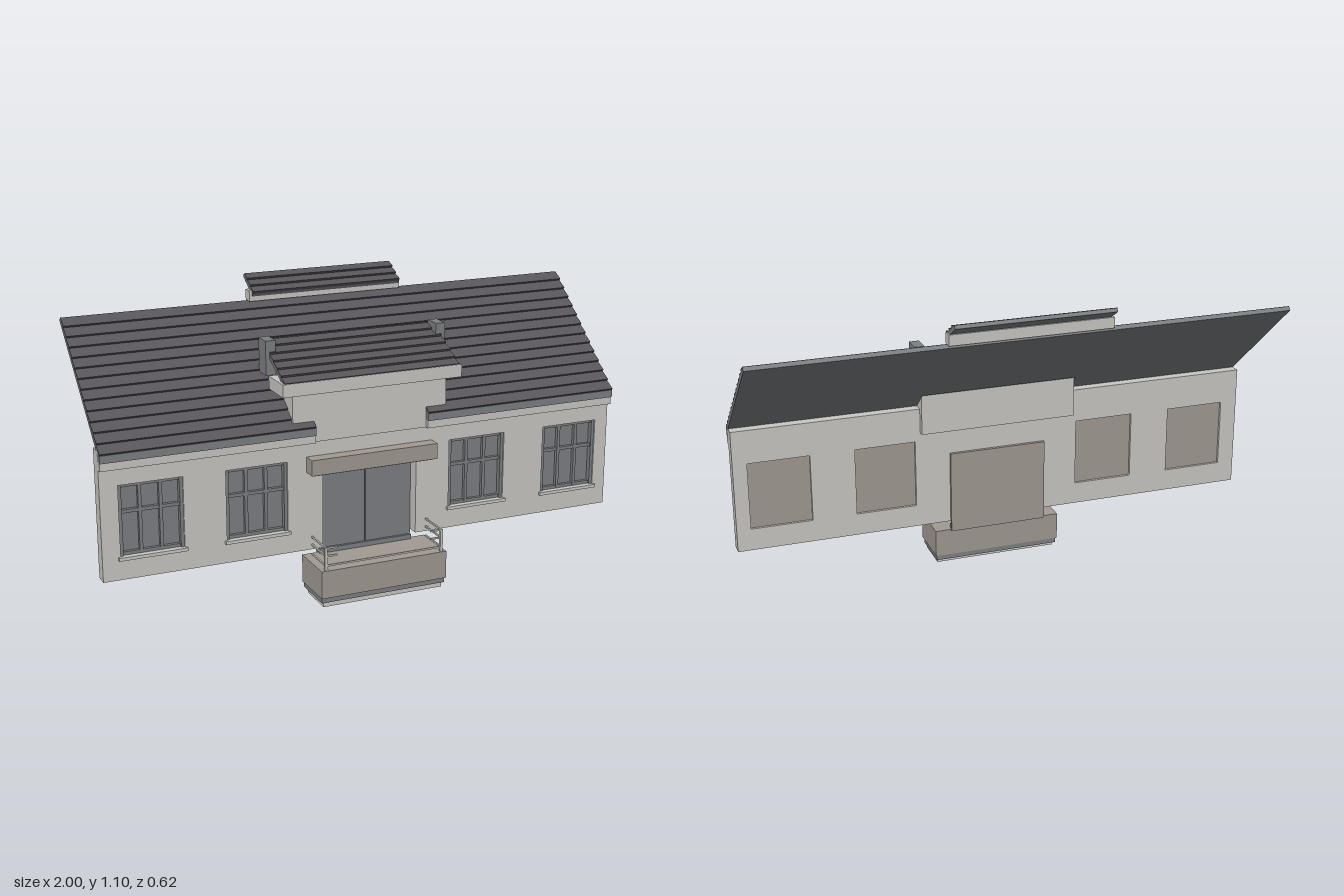
import * as THREE from 'three';

const mat = (name, color) => {
  const m = new THREE.MeshStandardMaterial({ color });
  m.name = name;
  return m;
};

export function createModel() {
  const house = new THREE.Group();
  house.name = 'houseFront';
  const plaster = mat('plaster', 0xc9c8c3);
  const stone = mat('stone', 0xa19a92);
  const grey = mat('grey', 0x7d8083);
  const tile = mat('roofTile', 0x59565b);

  // Box given by its limits on each axis
  const box = (name, m, x0, x1, y0, y1, z0, z1, parent = house) => {
    const mesh = new THREE.Mesh(new THREE.BoxGeometry(x1 - x0, y1 - y0, z1 - z0), m);
    mesh.position.set((x0 + x1) / 2, (y0 + y1) / 2, (z0 + z1) / 2);
    mesh.name = name;
    parent.add(mesh);
    return mesh;
  };

  // Side profile of [z, y] points, extruded from x0 to x1
  const profile = (name, m, points, x0, x1, parent) => {
    const shape = new THREE.Shape(points.map(([z, y]) => new THREE.Vector2(-z, y)));
    const g = new THREE.ExtrudeGeometry(shape, { depth: x1 - x0, bevelEnabled: false });
    g.rotateY(Math.PI / 2).translate(x0, 0, 0);
    const mesh = new THREE.Mesh(g, m);
    mesh.name = name;
    parent.add(mesh);
  };

  // Sloping roof: a flat slab under overlapping rows of tiles
  const roof = (name, r, x0, x1, first = 0, last = r.rows) => {
    const group = new THREE.Group();
    group.name = name;
    house.add(group);
    const [z0, y0] = r.eave, [z1, y1] = r.ridge;
    const len = Math.hypot(z1 - z0, y1 - y0);
    const nz = (y1 - y0) / len, ny = (z0 - z1) / len;
    const at = (row, h) => {
      const t = row / r.rows;
      return [z0 + (z1 - z0) * t + nz * h, y0 + (y1 - y0) * t + ny * h];
    };
    profile('slab', grey, [at(first, 0), at(last, 0), at(last, -r.slab), at(first, -r.slab)], x0, x1, group);
    const steps = [at(first, 0)];
    for (let i = first; i < last; i++) steps.push(at(i, 0.012), at(i + 1, 0.003));
    steps.push(at(last, 0));
    profile('tiles', tile, steps, x0, x1, group);
  };

  // Wall with a door notch and window holes
  const windows = [-0.82, -0.435, 0.435, 0.832];
  const wW = 0.115, wB = 0.262, wT = 0.52;
  const wallShape = new THREE.Shape([
    [-1, 0.178], [-0.185, 0.178], [-0.185, 0.456], [0.185, 0.456],
    [0.185, 0.178], [1, 0.178], [1, 0.648], [-1, 0.648],
  ].map(([x, y]) => new THREE.Vector2(x, y)));
  for (const x of windows) {
    wallShape.holes.push(new THREE.Path([
      [x - wW, wB], [x - wW, wT], [x + wW, wT], [x + wW, wB],
    ].map(([a, b]) => new THREE.Vector2(a, b))));
  }
  const wall = new THREE.Mesh(new THREE.ExtrudeGeometry(wallShape, { depth: 0.05, bevelEnabled: false }), plaster);
  wall.position.z = 0.125;
  wall.name = 'wall';
  house.add(wall);

  // Windows: backing, glass, frame with bars, sill
  for (const x of windows) {
    const w = new THREE.Group();
    w.name = 'window';
    house.add(w);
    box('backing', stone, x - wW, x + wW, wB, wT, 0.135, 0.146, w);
    box('glass', grey, x - wW, x + wW, wB, wT, 0.146, 0.15, w);
    for (const s of [-1, 1]) {
      box('jamb', grey, x + s * 0.109 - 0.006, x + s * 0.109 + 0.006, wB, wT, 0.15, 0.17, w);
      box('bar', grey, x + s * 0.037 - 0.006, x + s * 0.037 + 0.006, wB, wT, 0.15, 0.164, w);
    }
    for (const y of [wB + 0.006, 0.42, wT - 0.006])
      box('crossBar', grey, x - wW, x + wW, y - 0.006, y + 0.006, 0.15, 0.163, w);
    box('sill', plaster, x - 0.123, x + 0.123, 0.25, wB, 0.15, 0.186, w);
  }

  // Double door
  box('doorBacking', stone, -0.187, 0.187, 0.14, 0.458, 0.112, 0.124);
  for (const s of [-1, 1])
    box('doorLeaf', grey, Math.min(s * 0.002, s * 0.184), Math.max(s * 0.002, s * 0.184), 0.142, 0.455, 0.124, 0.132);
  box('threshold', grey, -0.184, 0.184, 0.142, 0.16, 0.13, 0.142);

  // Canopy over the door
  box('canopy', stone, -0.247, 0.247, 0.472, 0.53, 0.17, 0.224);
  box('canopySoffit', plaster, -0.23, 0.23, 0.466, 0.472, 0.17, 0.21);

  // Balcony with stepped base
  box('balcony', stone, -0.247, 0.247, 0.038, 0.142, 0.125, 0.308);
  box('balconyBand', grey, -0.243, 0.243, 0.018, 0.038, 0.13, 0.3);
  box('balconyFoot', plaster, -0.235, 0.235, 0, 0.018, 0.15, 0.294);

  // Railing: side rails, corner posts, short front returns, low front bar
  const rail = new THREE.Group();
  rail.name = 'railing';
  house.add(rail);
  for (const s of [-1, 1]) {
    const x = s * 0.228;
    box('post', plaster, x - 0.005, x + 0.005, 0.142, 0.228, 0.294, 0.305, rail);
    for (const y of [0.16, 0.196, 0.226]) {
      box('sideRail', plaster, x - 0.003, x + 0.003, y - 0.003, y + 0.003, 0.175, 0.3, rail);
      box('frontReturn', plaster, Math.min(x, s * 0.184), Math.max(x, s * 0.184), y - 0.003, y + 0.003, 0.297, 0.303, rail);
    }
  }
  box('frontBar', plaster, -0.228, 0.228, 0.157, 0.163, 0.297, 0.303, rail);

  // Eave mouldings either side of the gable
  for (const [a, b] of [[-1, -0.22], [0.22, 1]]) {
    box('eaveMoulding', plaster, a, b, 0.583, 0.612, 0.17, 0.196);
    box('gutter', grey, a, b, 0.612, 0.64, 0.17, 0.202);
  }

  // Raised centre gable and its cornice
  box('gableBack', plaster, -0.3, 0.3, 0.555, 0.766, 0.1, 0.13);
  box('gableFront', plaster, -0.3, 0.3, 0.64, 0.766, 0.13, 0.18);
  box('gableNeck', plaster, -0.22, 0.22, 0.583, 0.64, 0.17, 0.18);
  box('gableCornice', plaster, -0.347, 0.347, 0.766, 0.813, 0.075, 0.21);
  for (const [a, b] of [[-0.352, -0.315], [0.315, 0.352]])
    box('gablePost', grey, a, b, 0.81, 0.935, -0.006, 0.062);

  // Main roof, notched around the gable
  const main = { eave: [0.197, 0.637], ridge: [-0.243, 1.014], rows: 13, slab: 0.014 };
  roof('roofRight', main, -1, -0.3);
  roof('roofLeft', main, 0.3, 1);
  roof('roofMiddle', main, -0.3, 0.3, 3);
  roof('eaveRight', main, -0.3, -0.22, 0, 1);
  roof('eaveLeft', main, 0.22, 0.3, 0, 1);

  // Gable roof
  roof('gableRoof', { eave: [0.204, 0.806], ridge: [-0.01, 0.921], rows: 6, slab: 0.01 }, -0.338, 0.338);

  // Ridge vent: plaster curb and small roof
  box('ridgeCurb', plaster, -0.303, 0.303, 1.014, 1.054, -0.262, -0.224);
  roof('ridgeRoof', { eave: [-0.215, 1.043], ridge: [-0.308, 1.1], rows: 3, slab: 0.012 }, -0.292, 0.297);

  return house;
}
